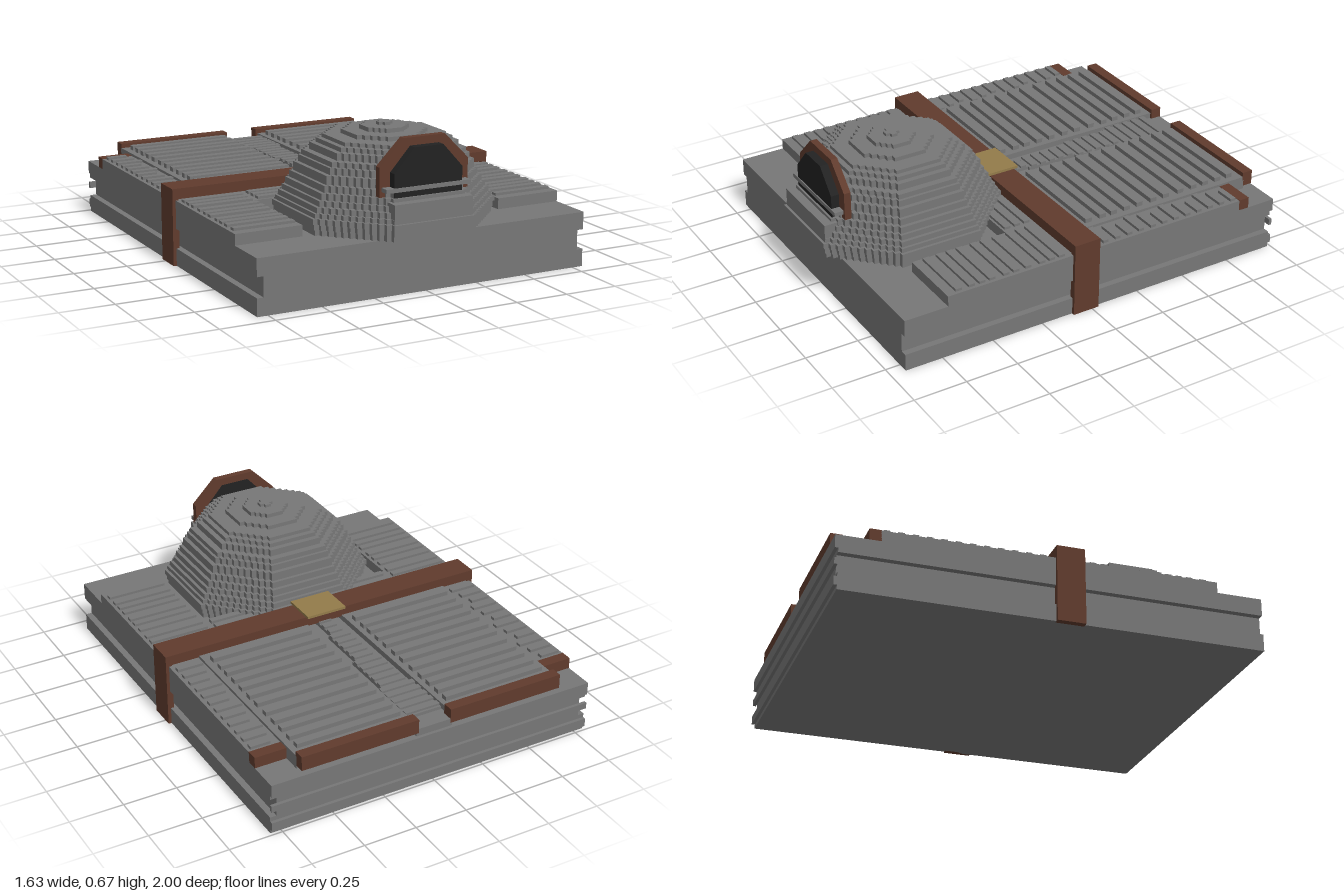
import * as THREE from 'three';

const mat = (name, color) => {
  const m = new THREE.MeshStandardMaterial({ color });
  m.name = name;
  return m;
};

export function createModel() {
  const root = new THREE.Group();
  root.name = 'domedSlab';
  const stone = mat('stone grey', 0x777777);
  const leather = mat('brown', 0x603b2d);
  const brass = mat('brass', 0x937b4a);
  const black = mat('window black', 0x222222);

  const add = (name, geo, material, parent = root) => {
    const m = new THREE.Mesh(geo, material);
    m.name = name;
    parent.add(m);
    return m;
  };
  // Box given by its extents on each axis
  const box = (name, material, x0, x1, y0, y1, z0, z1, parent = root) => {
    const m = add(name, new THREE.BoxGeometry(x1 - x0, y1 - y0, z1 - z0), material, parent);
    m.position.set((x0 + x1) / 2, (y0 + y1) / 2, (z0 + z1) / 2);
    return m;
  };
  // The same box on the left and right
  const pair = (name, material, x0, x1, ...rest) => {
    box(name + 'Left', material, x0, x1, ...rest);
    box(name + 'Right', material, -x1, -x0, ...rest);
  };
  const extrude = (points, depth, holes = []) => {
    const shape = new THREE.Shape(points.map(p => new THREE.Vector2(...p)));
    shape.holes = holes;
    return new THREE.ExtrudeGeometry(shape, { depth, bevelEnabled: false });
  };
  const mirrored = half => [...half, ...half.slice().reverse().map(([x, y]) => [-x, y])];

  // Base block with a groove along each side
  const base = mirrored([[0.8, 0], [0.8, 0.08], [0.77, 0.08], [0.77, 0.17], [0.8, 0.17], [0.8, 0.25]]);
  add('base', extrude(base, 1.915), stone).position.z = -0.985;

  // Raised bands across the back
  for (const [y0, y1] of [[0.02, 0.06], [0.115, 0.145], [0.19, 0.25]])
    box('backBand', stone, -0.8, 0.8, y0, y1, -1, -0.985);

  // Raised panels
  pair('rearPanel', stone, 0.09, 0.65, 0.25, 0.312, -0.94, 0);
  pair('rearSidePanel', stone, 0.65, 0.8, 0.25, 0.3, -0.805, 0);
  pair('frontSidePanel', stone, 0.487, 0.8, 0.25, 0.3, 0, 0.72);
  box('domeBackPanel', stone, -0.487, 0.487, 0.25, 0.3, 0, 0.25);

  // Ribs across the panels
  const rearRibs = [0.085, 0.16, 0.22, 0.29, 0.36, 0.435, 0.505, 0.585, 0.66, 0.725, 0.795, 0.86];
  for (const z of rearRibs) pair('rearRib', stone, 0.115, 0.62, 0.31, 0.333, -z - 0.033, -z);
  for (let i = 0; i < 12; i++) {
    const z = -0.07 - i * 0.063;
    pair('rearSideRib', stone, 0.66 + (i % 3) * 0.015, 0.785, 0.299, 0.313, z - 0.027, z);
  }
  for (const z of [0.13, 0.18, 0.23, 0.3, 0.36, 0.41, 0.48, 0.53, 0.58, 0.645])
    pair('frontSideRib', stone, 0.5, 0.785, 0.299, 0.312, z, z + 0.03);
  for (const z of [0.11, 0.16, 0.21])
    box('domeBackRib', stone, -0.465, 0.465, 0.299, 0.312, z, z + 0.03);

  // Sunken spine that narrows towards the strap
  box('spineBed', stone, -0.09, 0.09, 0.25, 0.285, -0.985, 0);
  [[0.085, -0.9, -0.65], [0.065, -0.65, -0.4], [0.048, -0.4, -0.15], [0.033, -0.15, 0]].forEach(([w, z0, z1]) => {
    box('spine', stone, -w, w, 0.28, 0.3, z0, z1);
    for (let z = z0 + 0.01; z < z1 - 0.03; z += 0.05)
      box('spineRib', stone, -w, w, 0.299, 0.31, z, z + 0.028);
  });

  // Brown edge strips at the back
  pair('rearEdgeStrip', leather, 0.08, 0.65, 0.265, 0.333, -0.987, -0.935);
  pair('rearCornerStrip', leather, 0.65, 0.8, 0.25, 0.302, -0.855, -0.802);

  // Strap and its brass plate
  box('strapTop', leather, -0.815, 0.815, 0.305, 0.353, -0.033, 0.096);
  pair('strapSide', leather, 0.785, 0.815, 0, 0.306, -0.033, 0.096);
  box('brassPlate', brass, -0.1, 0.1, 0.353, 0.365, -0.052, 0.114);

  // Octagon outline with small stair steps on its diagonals
  const steppedOctagon = a => {
    const t = a * 0.44;
    const n = Math.max(1, Math.round((a - t) / 0.022));
    const d = (a - t) / n;
    const quarter = [[a, t]];
    for (let i = 1; i <= n; i++)
      quarter.push([a - d * i, t + d * (i - 1)], [a - d * i, t + d * i]);
    const points = [];
    for (let q = 0; q < 4; q++) {
      for (const [x, y] of quarter)
        points.push([[x, y], [-y, x], [-x, -y], [y, -x]][q]);
    }
    return points;
  };

  // Stepped dome: bottom height, top height, distance from centre to side
  const dome = new THREE.Group();
  dome.name = 'dome';
  dome.position.z = 0.547;
  root.add(dome);
  const tiers = [
    [0.25, 0.275, 0.437], [0.275, 0.3, 0.443], [0.3, 0.325, 0.45], [0.325, 0.345, 0.437],
    [0.345, 0.37, 0.425], [0.37, 0.395, 0.41], [0.395, 0.425, 0.397], [0.425, 0.455, 0.38],
    [0.455, 0.495, 0.365], [0.495, 0.525, 0.345], [0.525, 0.548, 0.332], [0.548, 0.58, 0.3],
    [0.58, 0.6, 0.275], [0.6, 0.617, 0.25], [0.617, 0.636, 0.175], [0.636, 0.655, 0.1], [0.655, 0.668, 0.033],
  ];
  for (const [y0, y1, a] of tiers) {
    const geo = extrude(steppedOctagon(a), y1 - y0);
    geo.rotateX(-Math.PI / 2);
    add('domeTier', geo, stone, dome).position.y = y0;
  }

  // Window at the front of the dome
  const hood = new THREE.Group();
  hood.name = 'window';
  root.add(hood);
  box('windowLedge', stone, -0.19, 0.19, 0.3, 0.41, 0.8, 0.985, hood);
  const outer = [[0.215, 0.4], [0.215, 0.555], [0.19, 0.58], [0.1, 0.67]];
  const inner = [[0.165, 0.4], [0.165, 0.53], [0.07, 0.635]];
  const arch = [...mirrored(outer), ...mirrored(inner).reverse()];
  add('windowFrame', extrude(arch, 0.032), leather, hood).position.z = 0.865;
  const pane = mirrored([[0.165, 0.405], [0.165, 0.53], [0.07, 0.635]]);
  add('windowPane', extrude(pane, 0.06), black, hood).position.z = 0.875;
  box('windowBar', stone, -0.205, 0.205, 0.45, 0.468, 0.89, 0.94, hood);

  return root;
}
